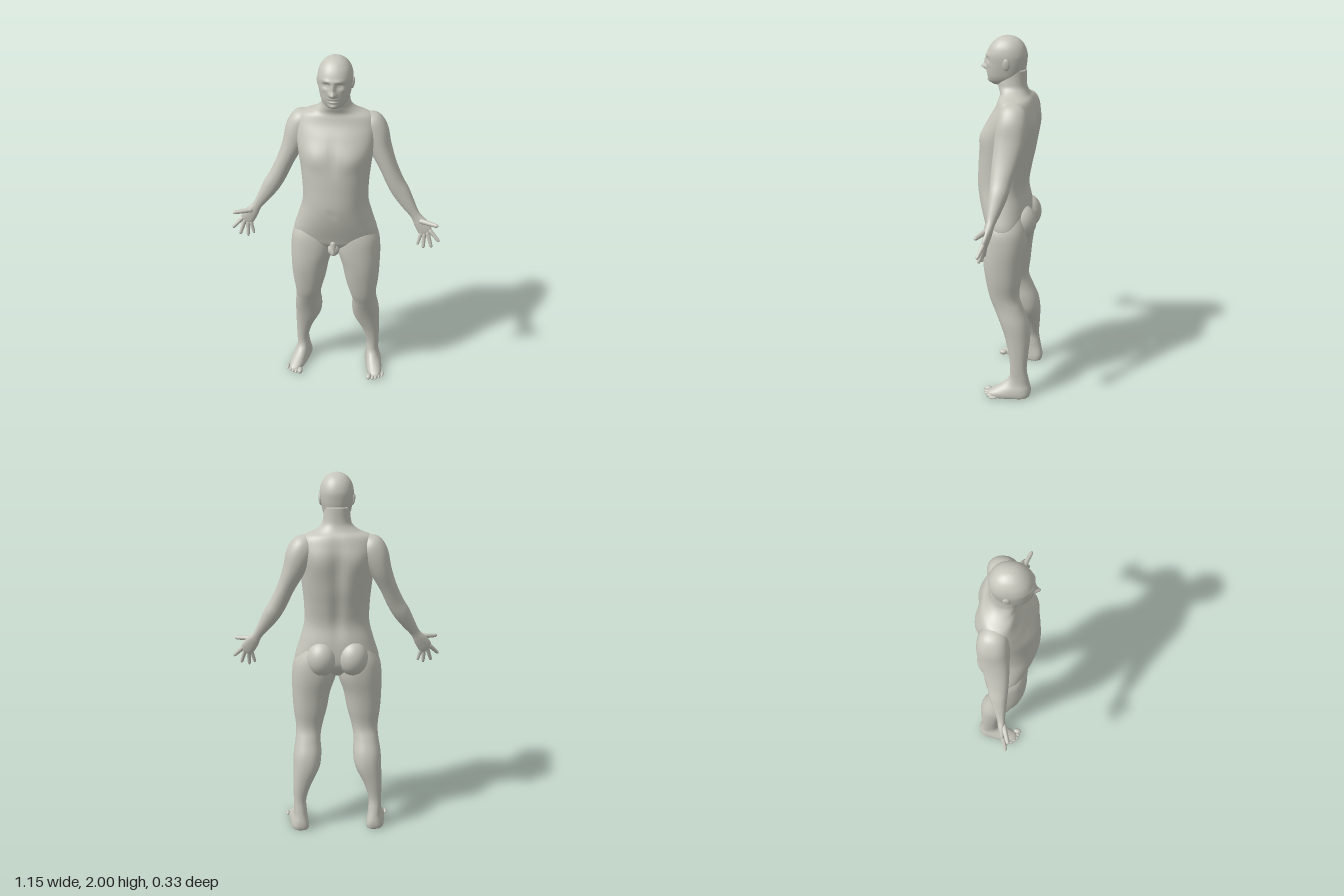
import * as THREE from 'three';

const skin = new THREE.MeshStandardMaterial({ color: 0xc6c6bc });
skin.name = 'skin';

const gauss = (d, s) => Math.exp(-(d * d) / (s * s));

// Catmull-Rom blend of whole rows of numbers
function blend(rows, i, t) {
  const at = k => rows[Math.min(Math.max(k, 0), rows.length - 1)];
  const [p, q, r, s] = [at(i - 1), at(i), at(i + 1), at(i + 2)];
  return q.map((b, k) => 0.5 * (2 * b + (r[k] - p[k]) * t
    + (2 * p[k] - 5 * b + 4 * r[k] - s[k]) * t * t
    + (3 * b - p[k] - 3 * r[k] + s[k]) * t * t * t));
}

// Closed skin through rows, top to bottom:
// [x, y, z, half width, depth to front, depth to back, tilt, squareness]
// reliefs: [front 1 or back -1, |x|, y, spread x, spread y, height]
function loft(input, { sides = 40, steps = 5, reliefs = [], warp } = {}) {
  const rows = input.map(r => [...r, ...[0, 2.2].slice(r.length - 6)]);
  const rings = [];
  for (let i = 0; i < rows.length - 1; i++)
    for (let k = 0; k < steps; k++) rings.push(blend(rows, i, k / steps));
  rings.push(rows[rows.length - 1]);
  const cap = r => r.map((v, k) => (k > 2 && k < 6 ? 0 : v));
  rings.unshift(cap(rings[0]));
  rings.push(cap(rings[rings.length - 1]));

  const pos = [], index = [], p = new THREE.Vector3();
  rings.forEach(([x, y, z, a, f, b, tilt, e], i) => {
    for (let j = 0; j < sides; j++) {
      const th = (j / sides) * Math.PI * 2, c = Math.cos(th), s = Math.sin(th);
      const u = Math.sign(c) * Math.abs(c) ** (2 / e) * Math.max(a, 0);
      const v = Math.sign(s) * Math.abs(s) ** (2 / e) * Math.max(s > 0 ? f : b, 0);
      p.set(x + u * Math.cos(tilt), y + u * Math.sin(tilt), z + v);
      let dz = 0;
      for (const [dir, rx, ry, sx, sy, h] of reliefs)
        if (dir * s > 0) dz += dir * h * gauss(Math.abs(p.x) - rx, sx) * gauss(p.y - ry, sy) * Math.sqrt(Math.abs(s));
      p.z += a > 0 ? dz : 0;
      if (warp) warp(p);
      pos.push(p.x, p.y, p.z);
      if (i < rings.length - 1) {
        const n = (j + 1) % sides, A = i * sides + j, C = i * sides + n;
        index.push(A, C, A + sides, C, C + sides, A + sides);
      }
    }
  });
  const g = new THREE.BufferGeometry();
  g.setAttribute('position', new THREE.Float32BufferAttribute(pos, 3));
  g.setIndex(index);
  g.computeVertexNormals();
  return g;
}

function ellipsoid([x, y, z], [rx, ry, rz], tilt = 0) {
  return new THREE.SphereGeometry(1, 28, 20).scale(rx, ry, rz).rotateZ(tilt).translate(x, y, z);
}

// Rounded finger from root to tip, narrowing towards the tip
function digit(from, to, r) {
  const a = new THREE.Vector3(...from), b = new THREE.Vector3(...to), d = b.clone().sub(a);
  const len = d.length(), g = new THREE.CapsuleGeometry(r, len - r, 6, 14, 6), p = g.attributes.position;
  for (let i = 0; i < p.count; i++) {
    const k = 0.85 - 0.3 * (p.getY(i) / len);
    p.setX(i, p.getX(i) * k);
    p.setZ(i, p.getZ(i) * k);
  }
  g.computeVertexNormals();
  g.applyQuaternion(new THREE.Quaternion().setFromUnitVectors(new THREE.Vector3(0, 1, 0), d.normalize()));
  return g.translate(...a.add(b).multiplyScalar(0.5).toArray());
}

function mirror(geo) {
  const g = geo.clone().scale(-1, 1, 1), ix = g.index;
  for (let i = 0; i < ix.count; i += 3) {
    const t = ix.getX(i);
    ix.setX(i, ix.getX(i + 1));
    ix.setX(i + 1, t);
  }
  return g;
}

export function createModel() {
  const model = new THREE.Group();
  model.name = 'standingFigure';
  const add = (name, geo) => {
    const m = new THREE.Mesh(geo, skin);
    m.name = name;
    model.add(m);
  };
  const pair = (name, geo) => {
    add('left' + name, geo);
    add('right' + name, mirror(geo));
  };

  // Torso and neck, with chest, shoulder blades and spine groove
  add('torso', loft([
    [0, 1.83, -0.02, 0.066, 0.06, 0.07],
    [0, 1.77, -0.015, 0.072, 0.075, 0.076],
    [0, 1.735, -0.02, 0.082, 0.075, 0.076],
    [0, 1.705, -0.03, 0.12, 0.075, 0.08],
    [0, 1.68, -0.035, 0.18, 0.085, 0.095],
    [0, 1.64, -0.03, 0.205, 0.095, 0.115],
    [0, 1.58, -0.02, 0.21, 0.12, 0.138],
    [0, 1.5, 0, 0.2, 0.138, 0.155],
    [0, 1.4, 0, 0.187, 0.157, 0.142],
    [0, 1.3, 0, 0.178, 0.165, 0.12],
    [0, 1.2, 0, 0.178, 0.168, 0.105],
    [0, 1.1, 0, 0.204, 0.152, 0.122],
    [0, 1.0, 0, 0.232, 0.122, 0.125],
    [0, 0.95, 0, 0.2, 0.105, 0.105],
    [0, 0.905, 0, 0.1, 0.07, 0.06],
  ], {
    sides: 64,
    reliefs: [
      [1, 0.1, 1.48, 0.06, 0.055, 0.012], [1, 0, 1.5, 0.02, 0.08, -0.006],
      [-1, 0, 1.5, 0.035, 0.14, -0.016], [-1, 0, 1.25, 0.03, 0.14, -0.012],
      [-1, 0.11, 1.54, 0.06, 0.08, 0.012], [1, 0, 1.175, 0.01, 0.012, -0.006],
    ],
  }));

  // Head, with the face raised and sunk by reliefs
  add('head', loft([
    [0, 2.0, 0.01, 0.012, 0.012, 0.012],
    [0, 1.993, 0.01, 0.035, 0.038, 0.04],
    [0, 1.975, 0.01, 0.06, 0.066, 0.07],
    [0, 1.945, 0.01, 0.08, 0.092, 0.092],
    [0, 1.905, 0.01, 0.089, 0.108, 0.104],
    [0, 1.865, 0.01, 0.087, 0.107, 0.102],
    [0, 1.825, 0.015, 0.08, 0.102, 0.1],
    [0, 1.79, 0.02, 0.071, 0.092, 0.088],
    [0, 1.765, 0.025, 0.056, 0.077, 0.06],
    [0, 1.75, 0.03, 0.035, 0.055, 0.04],
  ], {
    sides: 96, steps: 8,
    reliefs: [
      [1, 0.033, 1.88, 0.017, 0.012, -0.013], [1, 0.032, 1.878, 0.01, 0.006, 0.006],
      [1, 0.03, 1.903, 0.024, 0.009, 0.006], [1, 0, 1.866, 0.011, 0.026, 0.016],
      [1, 0, 1.838, 0.013, 0.013, 0.028], [1, 0.013, 1.834, 0.008, 0.009, 0.008],
      [1, 0, 1.81, 0.022, 0.006, 0.006], [1, 0, 1.802, 0.024, 0.003, -0.005],
      [1, 0, 1.794, 0.02, 0.006, 0.006], [1, 0, 1.768, 0.025, 0.013, 0.012],
      [1, 0.05, 1.855, 0.016, 0.014, 0.004],
    ],
  }));
  pair('Ear', ellipsoid([0.087, 1.862, 0], [0.009, 0.031, 0.019], -0.12));

  // Arm from shoulder to palm
  pair('Arm', loft([
    [0.13, 1.672, -0.05, 0.02, 0.03, 0.03, 0.75],
    [0.165, 1.635, -0.05, 0.066, 0.066, 0.072, 0.65],
    [0.2, 1.575, -0.05, 0.074, 0.078, 0.084, 0.5],
    [0.234, 1.49, -0.045, 0.058, 0.078, 0.08, 0.42],
    [0.274, 1.4, -0.03, 0.047, 0.066, 0.068, 0.42],
    [0.316, 1.31, -0.018, 0.046, 0.055, 0.055, 0.47],
    [0.352, 1.25, -0.01, 0.046, 0.046, 0.05, 0.52],
    [0.39, 1.19, 0, 0.037, 0.035, 0.038, 0.55],
    [0.433, 1.127, 0.012, 0.026, 0.021, 0.023, 0.6],
    [0.463, 1.085, 0.02, 0.036, 0.019, 0.021, 0.6],
    [0.49, 1.045, 0.028, 0.039, 0.014, 0.017, 0.6],
    [0.502, 1.022, 0.031, 0.032, 0.009, 0.011, 0.6],
  ]));

  // Fingers and thumb
  [
    ['Thumb', [0.462, 1.1, 0.028], [0.555, 1.094, 0.062], 0.015],
    ['IndexFinger', [0.515, 1.048, 0.03], [0.568, 0.995, 0.052], 0.0125],
    ['MiddleFinger', [0.504, 1.035, 0.031], [0.53, 0.957, 0.052], 0.0125],
    ['RingFinger', [0.488, 1.025, 0.031], [0.487, 0.947, 0.048], 0.012],
    ['LittleFinger', [0.472, 1.025, 0.03], [0.455, 0.962, 0.04], 0.011],
  ].forEach(([name, from, to, r]) => pair(name, digit(from, to, r)));

  // Leg and foot; the foot turns slightly outwards
  pair('Leg', loft([
    [0.115, 1.07, -0.01, 0.075, 0.1, 0.09],
    [0.121, 0.99, 0, 0.115, 0.112, 0.12],
    [0.127, 0.9, 0, 0.122, 0.118, 0.12],
    [0.143, 0.8, 0.005, 0.106, 0.11, 0.11],
    [0.15, 0.7, 0.005, 0.094, 0.096, 0.1],
    [0.157, 0.6, 0, 0.075, 0.08, 0.085],
    [0.164, 0.53, -0.03, 0.07, 0.083, 0.078],
    [0.168, 0.45, -0.055, 0.078, 0.075, 0.086],
    [0.175, 0.37, -0.075, 0.074, 0.067, 0.077],
    [0.2, 0.27, -0.09, 0.051, 0.055, 0.057],
    [0.214, 0.18, -0.095, 0.036, 0.048, 0.046],
    [0.213, 0.12, -0.1, 0.036, 0.058, 0.05],
    [0.215, 0.085, -0.1, 0.039, 0.088, 0.057, 0, 2.2],
    [0.22, 0.055, -0.1, 0.046, 0.135, 0.063, 0, 2.4],
    [0.222, 0.03, -0.1, 0.05, 0.175, 0.064, 0, 2.6],
    [0.222, 0.01, -0.1, 0.049, 0.178, 0.06, 0, 2.6],
    [0.222, 0.002, -0.1, 0.042, 0.165, 0.052, 0, 2.6],
  ], {
    warp: p => { p.x += 0.16 * (p.z + 0.07) * THREE.MathUtils.smoothstep(0.13 - p.y, 0, 0.1); },
  }));
  for (let i = 0; i < 5; i++) {
    const r = i ? 0.0115 - i * 0.0006 : 0.016;
    pair('Toe' + (i + 1), ellipsoid([0.209 + i * 0.0185 + (i ? 0.005 : 0), r + 0.005, 0.08 - i * i * 0.0025], [r, r, 0.024]));
  }

  // Buttocks
  pair('Buttock', ellipsoid([0.085, 1.015, -0.082], [0.083, 0.098, 0.083]));

  // Groin
  add('groin', ellipsoid([0, 0.922, 0.095], [0.032, 0.038, 0.032]));
  add('groinFront', digit([0, 0.975, 0.105], [0, 0.905, 0.122], 0.018));

  return model;
}
